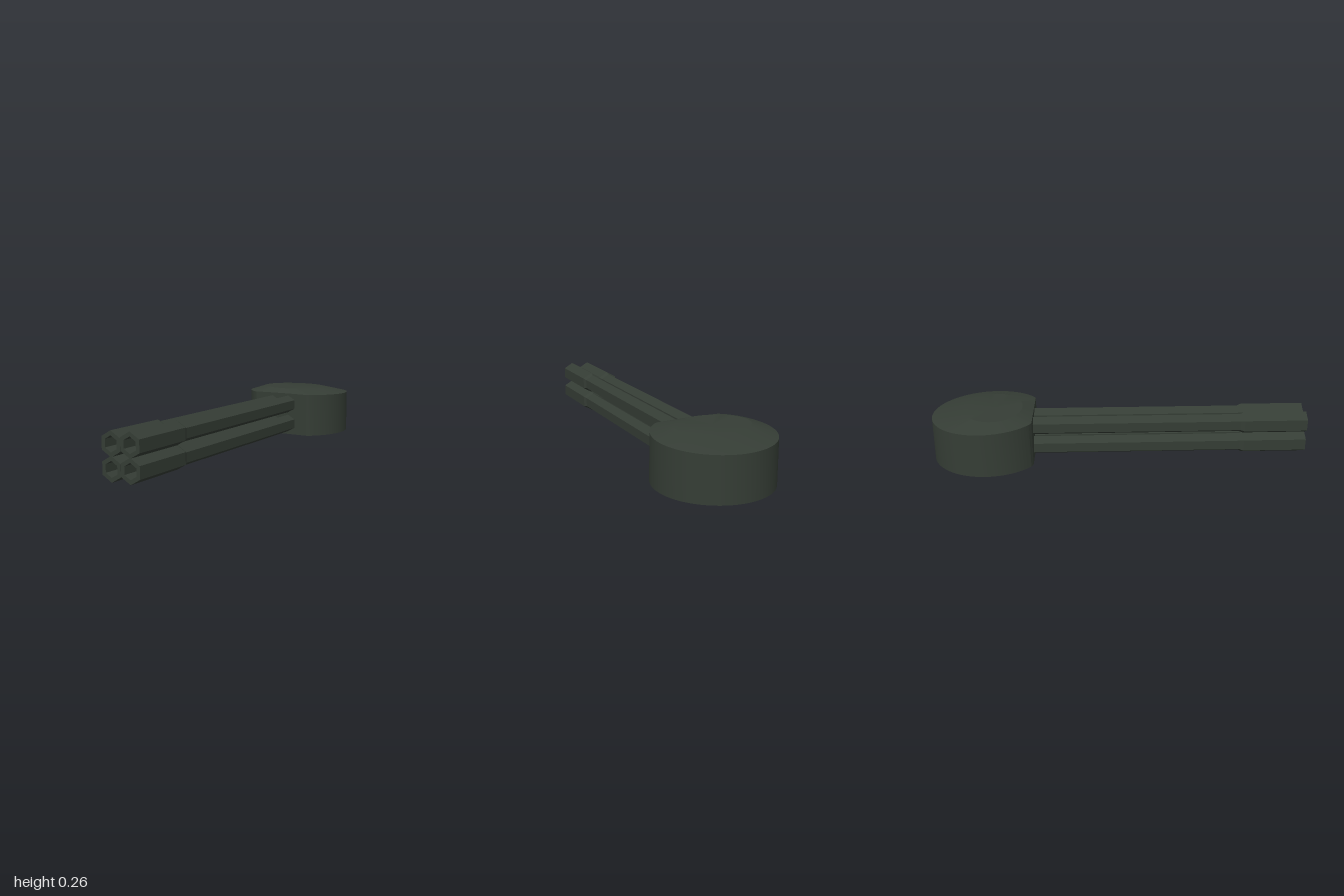
import * as THREE from 'three';
import { toCreasedNormals } from 'three/addons/utils/BufferGeometryUtils.js';

const FRONT = -0.46; // plane of the flat mounting face
const CENTRE = -0.7; // turret axis

// Round drum with a flat front and a shallow chamfered lid
function turretGeometry() {
  const profile = [[0, 0], [0.296, 0], [0.294, 0.235], [0.19, 0.265], [0, 0.265]]
    .map(([r, y]) => new THREE.Vector2(r, y));
  const geo = new THREE.LatheGeometry(profile, 72);
  const p = geo.attributes.position;
  for (let i = 0; i < p.count; i++) {
    let x = p.getX(i), y = p.getY(i), z = p.getZ(i);
    if (y > 0.25) { // lid: slightly oval, set forward
      x -= 0.012;
      z = CENTRE + 0.03 + z * 0.8;
    } else {
      if (y > 0.1) y += z * 0.027; // rim drops towards the rear
      z = Math.min(CENTRE + z * 1.015, FRONT);
    }
    p.setXYZ(i, x, y, z);
  }
  return toCreasedNormals(geo, 0.25);
}

// Hexagonal tube, thicker at the muzzle, with a hollow bore
function barrelGeometry() {
  const profile = [[0.05, -0.5], [0.05, 0.645], [0.06, 0.665], [0.06, 1], [0.038, 1], [0.038, 0.9], [0, 0.9]]
    .map(([r, y]) => new THREE.Vector2(r, y));
  const geo = new THREE.LatheGeometry(profile, 6);
  geo.rotateX(Math.PI / 2);
  return toCreasedNormals(geo, 0.1);
}

export function createModel() {
  const group = new THREE.Group();
  group.name = 'quadGunTurret';
  const darkGreen = new THREE.MeshStandardMaterial({ color: 0x353d35 });
  darkGreen.name = 'darkGreen';

  const turret = new THREE.Mesh(turretGeometry(), darkGreen);
  turret.name = 'turret';
  group.add(turret);

  // Two by two barrels
  const barrel = barrelGeometry();
  const places = [
    ['upperRightBarrel', -0.056, 0.176], ['upperLeftBarrel', 0.049, 0.181],
    ['lowerRightBarrel', -0.056, 0.063], ['lowerLeftBarrel', 0.049, 0.066],
  ];
  for (const [name, x, y] of places) {
    const mesh = new THREE.Mesh(barrel, darkGreen);
    mesh.name = name;
    mesh.position.set(x, y, 0);
    group.add(mesh);
  }
  return group;
}
